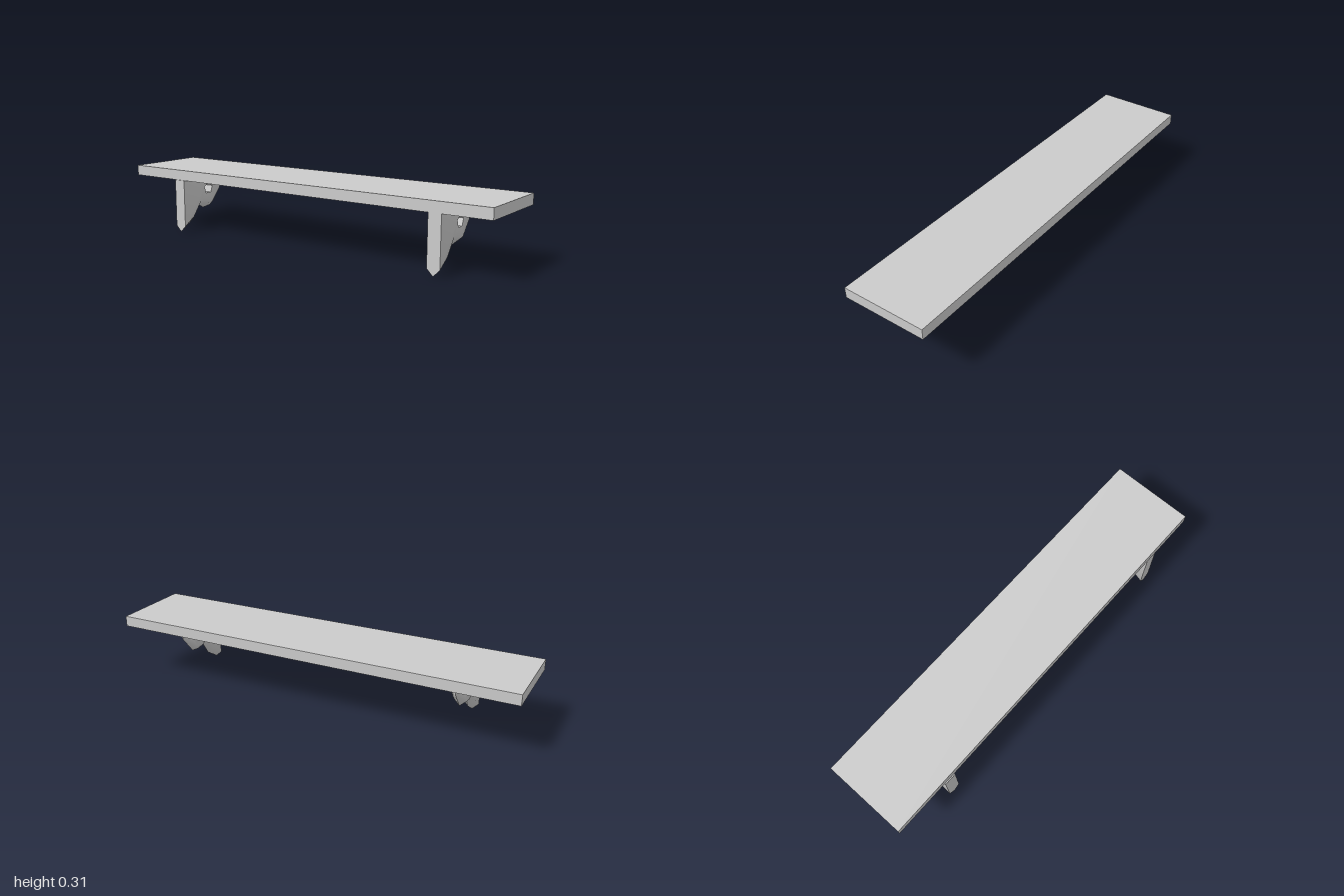
import * as THREE from 'three';
import { toCreasedNormals } from 'three/addons/utils/BufferGeometryUtils.js';

const material = new THREE.MeshStandardMaterial({ color: 0xcccccc });
const HALF = 0.03; // half the bracket thickness
const TOP = 0.26; // underside of the board

// Bracket profiles as [depth behind the front edge, height]
const RIDGE = [[0, 0], [0.078, 0.048], [0.124, 0.119], [0.159, 0.1], [0.21, 0.107],
  [0.281, 0.19], [0.274, 0.235], [0.317, TOP], [0, TOP]];
const FACE = [[0, 0.03], [0.064, 0.072], [0.118, 0.146], [0.163, 0.126], [0.2, 0.132],
  [0.254, 0.197], [0.248, 0.242], [0.272, TOP], [0, TOP]];
const HOLE = Array.from({ length: 5 }, (_, i) => {
  const a = Math.PI / 2 + (i * Math.PI * 2) / 5;
  return [0.171 + 0.029 * Math.cos(a), 0.202 + 0.029 * Math.sin(a)];
});

function bracketGeometry() {
  const pos = [];
  const tri = (...pts) => pts.forEach((p) => pos.push(...p));
  const quad = (a, b, c, d) => { tri(a, b, c); tri(a, c, d); };
  const at = (p, z) => [p[0], p[1], z];
  const toVec = (p) => new THREE.Vector2(...p);

  const holeLoop = HOLE.slice().reverse();
  const points = [...FACE, ...holeLoop];
  const faces = THREE.ShapeUtils.triangulateShape(FACE.map(toVec), [holeLoop.map(toVec)]);

  for (const z of [HALF, -HALF]) {
    // flat cheek with the pentagonal opening
    for (const [a, b, c] of faces) {
      const [p, q, r] = [a, b, c].map((i) => at(points[i], z));
      z > 0 ? tri(p, q, r) : tri(p, r, q);
    }
    // bevel from the cheek to the central ridge
    RIDGE.forEach((p, i) => {
      const j = (i + 1) % RIDGE.length;
      const c = [at(p, 0), at(RIDGE[j], 0), at(FACE[j], z), at(FACE[i], z)];
      quad(...(z > 0 ? c : c.reverse()));
    });
  }
  // walls of the opening
  HOLE.forEach((p, i) => {
    const q = HOLE[(i + 1) % HOLE.length];
    quad(at(p, HALF), at(q, HALF), at(q, -HALF), at(p, -HALF));
  });

  const g = new THREE.BufferGeometry();
  g.setAttribute('position', new THREE.Float32BufferAttribute(pos, 3));
  g.rotateY(Math.PI / 2); // depth runs towards the back
  return toCreasedNormals(g, 1.1);
}

export function createModel() {
  const model = new THREE.Group();
  model.name = 'wallShelf';

  // Board and brackets share one slight turn
  const shelf = new THREE.Group();
  shelf.name = 'shelf';
  shelf.rotation.y = THREE.MathUtils.degToRad(9.65);
  model.add(shelf);

  const board = new THREE.Mesh(new THREE.BoxGeometry(1.96, 0.05, 0.4), material);
  board.name = 'board';
  board.position.y = TOP + 0.025;
  shelf.add(board);

  const geometry = bracketGeometry();
  for (const [name, x, z] of [['rightBracket', -0.674, 0.205], ['leftBracket', 0.732, 0.198]]) {
    const bracket = new THREE.Mesh(geometry, material);
    bracket.name = name;
    bracket.position.set(x, 0, z);
    shelf.add(bracket);
  }
  return model;
}
